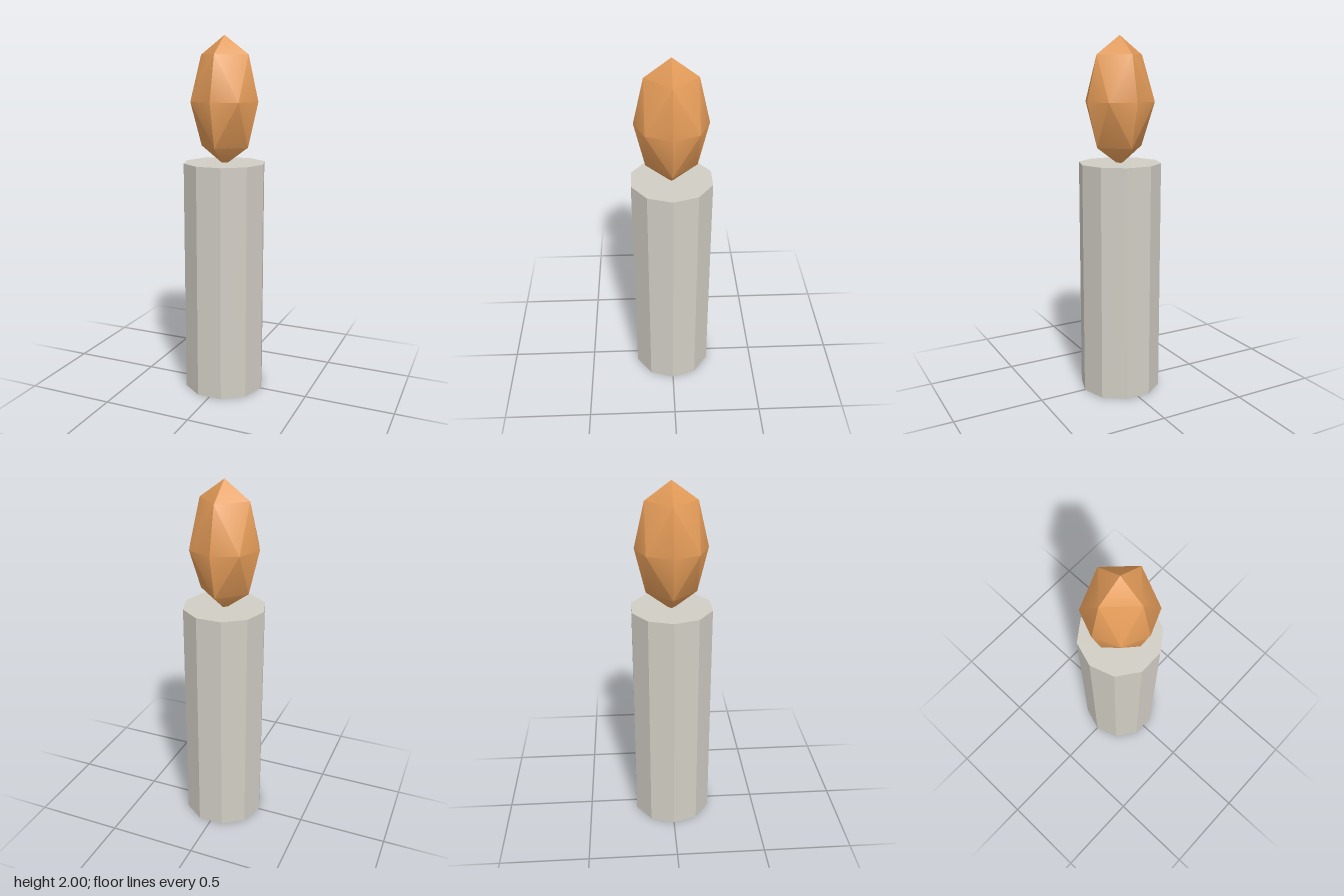
import * as THREE from 'three';
import { toCreasedNormals } from 'three/addons/utils/BufferGeometryUtils.js';

export function createModel() {
  const model = new THREE.Group();
  model.name = 'candle';

  const wax = new THREE.MeshStandardMaterial({ color: 0xd1cdc4 });
  wax.name = 'pale grey wax';
  const fire = new THREE.MeshStandardMaterial({ color: 0xe39b58 });
  fire.name = 'flame orange';

  const add = (name, geometry, material, y) => {
    const mesh = new THREE.Mesh(toCreasedNormals(geometry, Math.PI / 6), material);
    mesh.name = name;
    mesh.position.y = y;
    model.add(mesh);
  };

  // Ten-sided wax column with corners on the x axis
  const height = 1.315;
  add('waxColumn', new THREE.CylinderGeometry(0.23, 0.23, height, 10, 1, false, Math.PI / 2), wax, height / 2);

  // Stretched octahedral flame, its tip sunk slightly into the wax
  const flame = new THREE.OctahedronGeometry(1, 1);
  flame.scale(0.197, 0.35, 0.197);
  add('flame', flame, fire, 1.65);

  return model;
}
